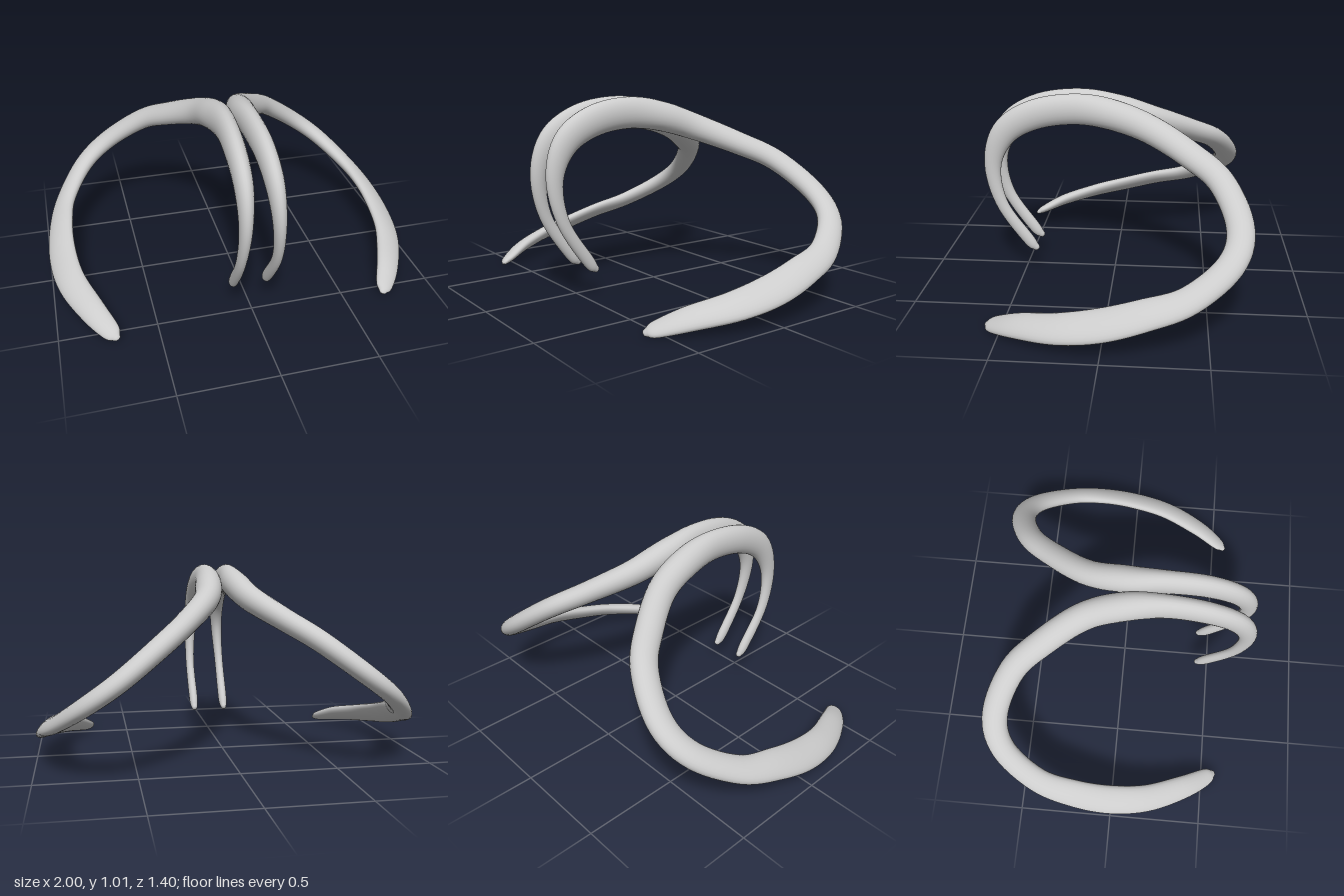
import * as THREE from 'three';

// Stations along one horn: centre x, y, z, half width in the curl's plane,
// half thickness across it, and tilt of the thickness axis (radians from +x)
const STATIONS = [
  [0.09, 0.14, 0.43, 0.018, 0.016, 0],
  [0.09, 0.19, 0.475, 0.032, 0.025, 0],
  [0.092, 0.40, 0.613, 0.033, 0.025, 0],
  [0.083, 0.62, 0.655, 0.046, 0.033, 0],
  [0.075, 0.80, 0.585, 0.07, 0.045, 0],
  [0.07, 0.90, 0.42, 0.08, 0.051, 0],
  [0.065, 0.932, 0.20, 0.082, 0.056, 0.05],
  [0.075, 0.905, 0.0, 0.08, 0.07, 0.3],
  [0.12, 0.84, -0.20, 0.075, 0.066, 0.65],
  [0.245, 0.75, -0.40, 0.072, 0.058, 0.92],
  [0.38, 0.66, -0.55, 0.069, 0.054, 0.94],
  [0.58, 0.51, -0.634, 0.068, 0.05, 0.94],
  [0.74, 0.39, -0.585, 0.067, 0.046, 0.94],
  [0.87, 0.275, -0.40, 0.07, 0.04, 0.95],
  [0.918, 0.218, -0.20, 0.08, 0.036, 0.96],
  [0.928, 0.163, 0.0, 0.085, 0.036, 0.97],
  [0.898, 0.12, 0.20, 0.08, 0.036, 0.98],
  [0.815, 0.078, 0.40, 0.068, 0.034, 1.02],
  [0.74, 0.035, 0.53, 0.048, 0.024, 1.1],
  [0.715, 0.02, 0.568, 0.02, 0.013, 1.1],
];

// Sweeps a changing ellipse along the path; side = 1 or -1 mirrors in x
function hornGeometry(side) {
  const path = new THREE.CatmullRomCurve3(STATIONS.map((s) => new THREE.Vector3(s[0], s[1], s[2])), false, 'catmullrom');
  const form = new THREE.CatmullRomCurve3(STATIONS.map((s) => new THREE.Vector3(s[3], s[4], s[5])), false, 'catmullrom');
  const rings = 120, sides = 24;
  const positions = [], indices = [];
  const addRing = (u, scale, push) => {
    const tangent = path.getTangent(u);
    const centre = path.getPoint(u).addScaledVector(tangent, push);
    const f = form.getPoint(u);
    const wide = new THREE.Vector3().crossVectors(tangent, new THREE.Vector3(Math.cos(f.z), Math.sin(f.z), 0)).normalize();
    const thick = new THREE.Vector3().crossVectors(wide, tangent);
    for (let j = 0; j < sides; j++) {
      const t = (j / sides) * Math.PI * 2;
      const p = centre.clone()
        .addScaledVector(wide, f.x * scale * Math.cos(t))
        .addScaledVector(thick, f.y * scale * Math.sin(t));
      positions.push(p.x * side, p.y, p.z);
    }
  };
  // Rounded tips are a smaller ring and a closing point at each end
  addRing(0, 0, -0.012);
  addRing(0, 0.7, -0.008);
  for (let i = 0; i <= rings; i++) addRing(i / rings, 1, 0);
  addRing(1, 0.7, 0.008);
  addRing(1, 0, 0.012);

  for (let i = 0; i < rings + 4; i++) {
    for (let j = 0; j < sides; j++) {
      const k = (j + 1) % sides;
      const a = i * sides + j, b = a + sides, c = i * sides + k, d = c + sides;
      if (side > 0) indices.push(a, b, c, c, b, d);
      else indices.push(a, c, b, c, d, b);
    }
  }
  const geometry = new THREE.BufferGeometry();
  geometry.setAttribute('position', new THREE.Float32BufferAttribute(positions, 3));
  geometry.setIndex(indices);
  geometry.computeVertexNormals();
  return geometry;
}

export function createModel() {
  const group = new THREE.Group();
  group.name = 'curledHorns';
  const grey = new THREE.MeshStandardMaterial({ color: 0xcccccc });
  grey.name = 'light grey';
  for (const [name, side] of [['leftHorn', 1], ['rightHorn', -1]]) {
    const horn = new THREE.Mesh(hornGeometry(side), grey);
    horn.name = name;
    group.add(horn);
  }
  return group;
}
